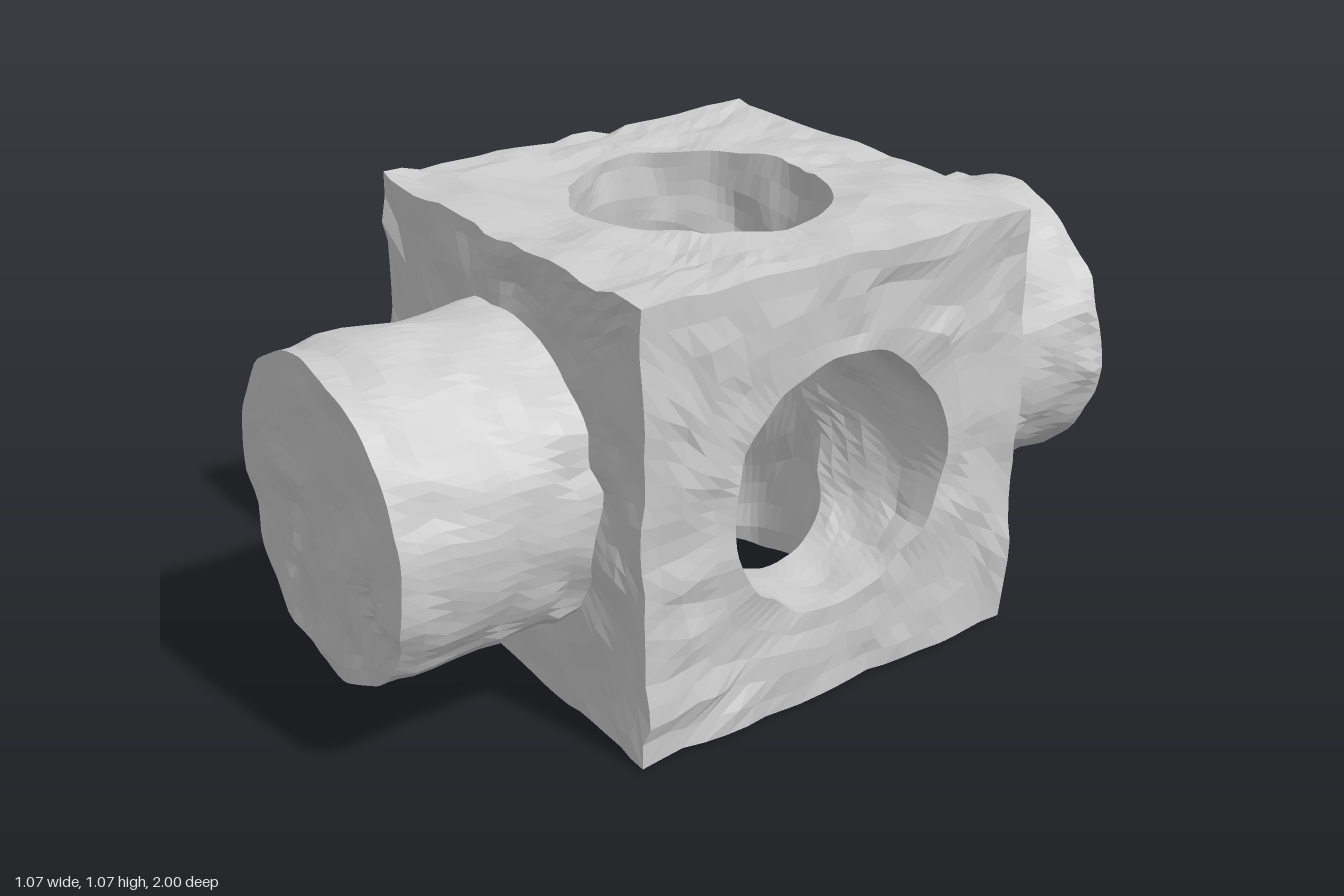
import * as THREE from 'three';

const HALF = 0.523, BORE = 0.3, BOSS = 0.365, END = 0.985, CENTRE_Y = 0.546;
const N = 80; // segments around every opening (multiple of 8)

// Repeatable value noise, so that neighbouring parts meet at their seams
const hash = (x, y, z, k) => {
  const s = Math.sin(x * 127.1 + y * 311.7 + z * 74.7 + k * 53.3) * 43758.5453;
  return (s - Math.floor(s)) * 2 - 1;
};
function noise(p, cell, k) {
  const q = p.clone().divideScalar(cell).addScalar(0.37);
  const i = q.clone().floor(), f = q.sub(i);
  let sum = 0;
  for (let c = 0; c < 8; c++) {
    const a = c & 1, b = (c >> 1) & 1, d = c >> 2;
    sum += hash(i.x + a, i.y + b, i.z + d, k) *
      (a ? f.x : 1 - f.x) * (b ? f.y : 1 - f.y) * (d ? f.z : 1 - f.z);
  }
  return sum;
}

// Places where the surface is more crumbled
const crumbled = [[-0.5, 0.45, 0.47], [0, 0.52, -0.35], [-0.48, 0.52, -0.08]]
  .map((c) => new THREE.Vector3(...c));

function roughen(geometry) {
  const pos = geometry.attributes.position, p = new THREE.Vector3();
  for (let i = 0; i < pos.count; i++) {
    p.fromBufferAttribute(pos, i);
    let extra = 0;
    for (const c of crumbled) extra += 0.02 * Math.exp(-p.distanceToSquared(c) / 0.008);
    const d = [1, 2, 3].map((k) => 0.018 * noise(p, 0.075, k) + extra * noise(p, 0.03, k + 5));
    pos.setXYZ(i, p.x + d[0], p.y + d[1], p.z + d[2]);
  }
  geometry.computeVertexNormals();
  return geometry;
}

// Closed bands around local z: at(angle, v) gives the point, v running 0..1
function band(rows, at) {
  const positions = [], index = [];
  for (let j = 0; j <= rows; j++) {
    for (let i = 0; i < N; i++) positions.push(...at((i / N) * Math.PI * 2, j / rows));
  }
  for (let j = 0; j < rows; j++) {
    for (let i = 0; i < N; i++) {
      const n = (i + 1) % N, a = j * N + i, b = j * N + n, c = a + N, d = b + N;
      index.push(a, c, b, b, c, d);
    }
  }
  const g = new THREE.BufferGeometry();
  g.setAttribute('position', new THREE.Float32BufferAttribute(positions, 3));
  g.setIndex(index);
  return g;
}

// Point on the outline of the square face, evenly spaced along its sides
function onSquare(a) {
  const side = Math.round(a / (Math.PI / 2)), t = (a - side * Math.PI / 2) / (Math.PI / 4);
  const [x, y] = [[1, t], [-t, 1], [-1, -t], [t, -1]][side % 4];
  return [x * HALF, y * HALF];
}

// Square face with a round opening
const panel = (r) => band(5, (a, v) => {
  const [x, y] = onSquare(a);
  return [THREE.MathUtils.lerp(r * Math.cos(a), x, v), THREE.MathUtils.lerp(r * Math.sin(a), y, v), HALF];
});

// Bore wall, from the meeting line with the crossing bore out to the face
const boreWall = () => band(7, (a, v) => {
  const x = BORE * Math.cos(a), y = BORE * Math.sin(a);
  return [x, y, THREE.MathUtils.lerp(Math.abs(y), HALF, v)];
});

const bossWall = () => band(9, (a, v) =>
  [BOSS * Math.cos(a), BOSS * Math.sin(a), THREE.MathUtils.lerp(END, HALF, v)]);

// Disc made from a square grid, to keep its facets even
function bossCap() {
  const g = new THREE.PlaneGeometry(2, 2, N / 4, N / 4), pos = g.attributes.position;
  for (let i = 0; i < pos.count; i++) {
    const x = pos.getX(i), y = pos.getY(i), wide = Math.abs(x) >= Math.abs(y);
    const m = wide ? x : y;
    const a = m === 0 ? 0 : (Math.PI / 4) * (wide ? y / x : x / y);
    const major = m * BOSS * Math.cos(a), minor = m * BOSS * Math.sin(a);
    pos.setXYZ(i, wide ? major : minor, wide ? minor : major, END);
  }
  return g;
}

export function createModel() {
  const model = new THREE.Group();
  const material = new THREE.MeshStandardMaterial({ color: 0xcccccc, flatShading: true });
  const add = (name, geometry, matrix) => {
    const mesh = new THREE.Mesh(roughen(geometry.applyMatrix4(matrix)), material);
    mesh.name = name;
    mesh.position.y = CENTRE_Y;
    model.add(mesh);
  };

  // Four drilled faces: left, top, right, bottom
  ['left', 'top', 'right', 'bottom'].forEach((name, k) => {
    const m = new THREE.Matrix4().makeRotationZ(k * Math.PI / 2)
      .multiply(new THREE.Matrix4().makeRotationY(Math.PI / 2));
    add(name + 'Face', panel(BORE), m);
    add(name + 'Bore', boreWall(), m);
  });

  // Front and back faces, each with a solid round boss
  ['front', 'back'].forEach((name, k) => {
    const m = new THREE.Matrix4().makeRotationY(k * Math.PI);
    add(name + 'Face', panel(BOSS), m);
    add(name + 'BossWall', bossWall(), m);
    add(name + 'BossCap', bossCap(), m);
  });
  return model;
}
